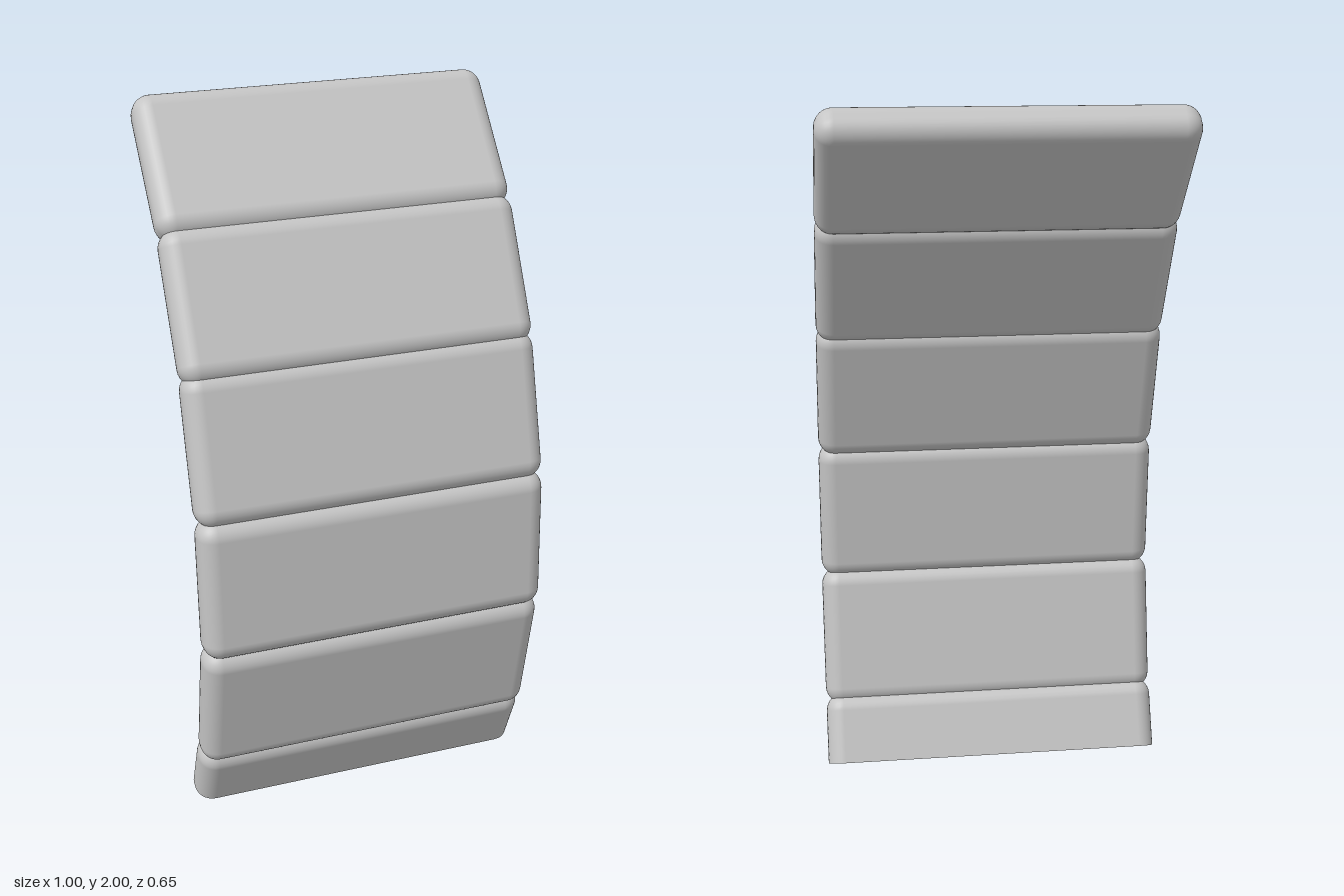
import * as THREE from 'three';
import { RoundedBoxGeometry } from 'three/addons/geometries/RoundedBoxGeometry.js';

const WIDTH = 1, HEIGHT = 0.415, DEPTH = 0.115, RADIUS = 0.05;

// Keeps the upper half of a slat, leaving its cut end open and hollow.
function upperHalf(source) {
  const p = source.attributes.position, n = source.attributes.normal;
  const positions = [], normals = [];
  for (let i = 0; i < p.count; i += 3) {
    const corners = [i, i + 1, i + 2];
    if (corners.every((c) => p.getY(c) < 0)) continue;
    for (const c of corners) {
      positions.push(p.getX(c), Math.max(0, p.getY(c)), p.getZ(c));
      normals.push(n.getX(c), n.getY(c), n.getZ(c));
    }
  }
  const half = new THREE.BufferGeometry();
  half.setAttribute('position', new THREE.Float32BufferAttribute(positions, 3));
  half.setAttribute('normal', new THREE.Float32BufferAttribute(normals, 3));
  return half;
}

export function createModel() {
  const group = new THREE.Group();
  group.name = 'curvedSlatPanel';
  const grey = new THREE.MeshStandardMaterial({ color: 0xc4c4c4, side: THREE.DoubleSide });
  grey.name = 'lightGrey';

  const slat = new RoundedBoxGeometry(WIDTH, HEIGHT, DEPTH, 4, RADIUS);

  function add(name, geometry, y, z, lean) {
    const mesh = new THREE.Mesh(geometry, grey);
    mesh.name = name;
    mesh.position.set(0, y, z);
    mesh.rotation.x = -THREE.MathUtils.degToRad(lean);
    group.add(mesh);
  }

  // Full slats from top to bottom: height, depth, backward lean in degrees
  [
    [1.825, -0.167, 41.6],
    [1.513, 0.053, 29],
    [1.164, 0.193, 16.4],
    [0.78, 0.259, 3],
    [0.389, 0.222, -11.5],
  ].forEach(([y, z, lean], i) => add(`slat${i + 1}`, slat, y, z, lean));

  // Cut-off bottom slat
  add('bottomHalfSlat', upperHalf(slat), 0.022, 0.1, -22.5);

  return group;
}
